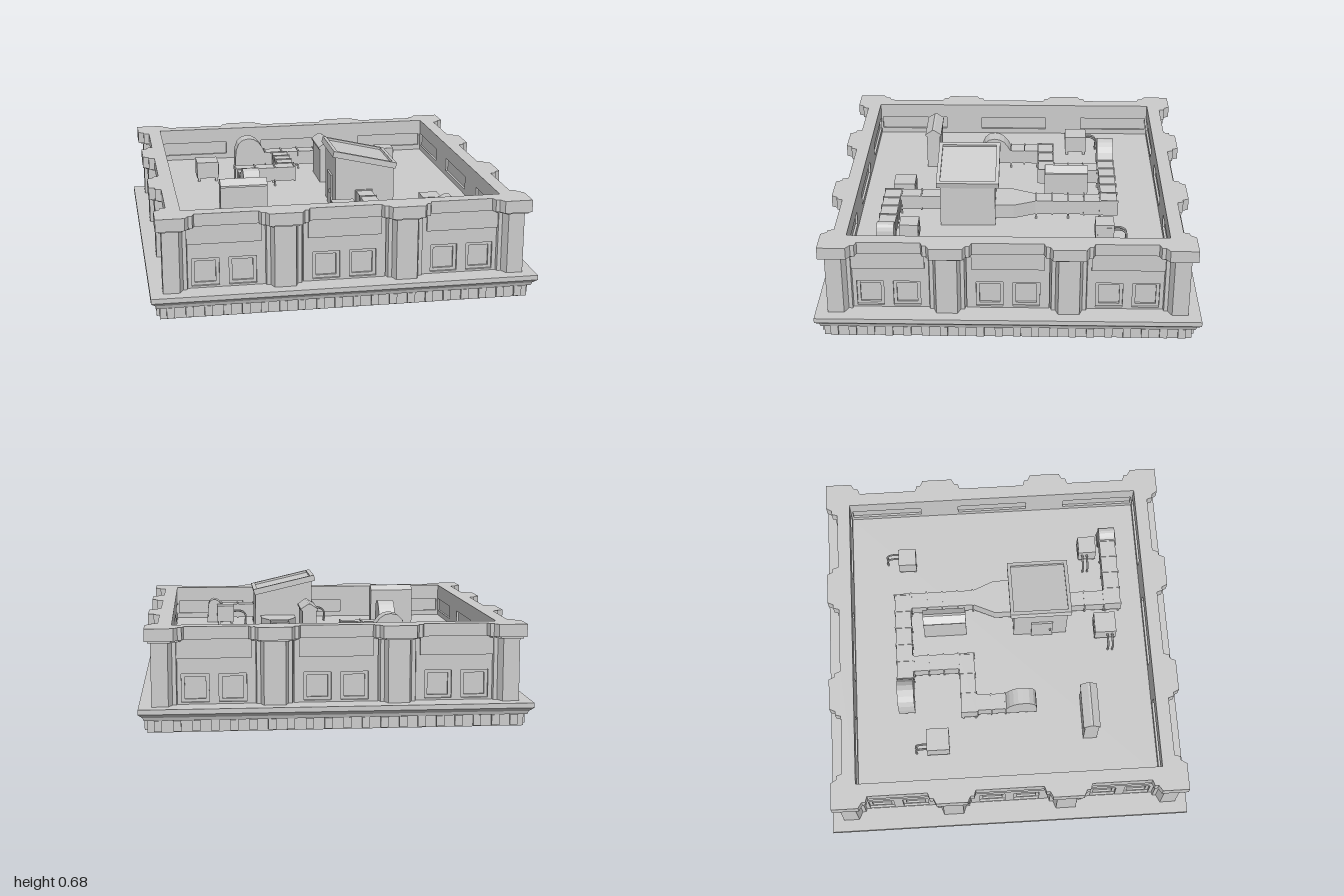
import * as THREE from 'three';

const mat = new THREE.MeshStandardMaterial({ color: 0xcccccc, flatShading: true, side: THREE.DoubleSide });
const FLOOR = 0.34;
const BAYS = [-0.62, 0, 0.62];

function add(parent, name, geo, x = 0, y = 0, z = 0) {
  const m = new THREE.Mesh(geo, mat);
  m.name = name;
  m.position.set(x, y, z);
  parent.add(m);
  return m;
}

// Box given by its extents
function block(parent, name, x0, x1, y0, y1, z0, z1) {
  return add(parent, name, new THREE.BoxGeometry(x1 - x0, y1 - y0, z1 - z0),
    (x0 + x1) / 2, (y0 + y1) / 2, (z0 + z1) / 2);
}

const poly = (pts) => pts.map(([x, y]) => new THREE.Vector2(x, y));
const rect = (x0, x1, y0, y1) => poly([[x0, y0], [x1, y0], [x1, y1], [x0, y1]]);

function extrude(outline, holes, depth) {
  const s = new THREE.Shape(outline);
  holes.forEach((h) => s.holes.push(new THREE.Path(h)));
  return new THREE.ExtrudeGeometry(s, { depth, bevelEnabled: false });
}

// Plan outline [x, z] raised from y0 to y1
function prism(parent, name, pts, holes, y0, y1) {
  const g = extrude(poly(pts.map(([x, z]) => [x, -z])), holes, y1 - y0);
  return add(parent, name, g.rotateX(-Math.PI / 2), 0, y0, 0);
}

// Square wall plan with stepped corner piers and two stepped pilasters per side
function wallPlan(bay, pil, grow) {
  const mid = (bay + pil) / 2;
  const half = [[-pil, pil], [-0.85 + grow, pil], [-0.83 + grow, mid], [-0.81 + grow, mid], [-0.80 + grow, bay]];
  const c = -0.315, w = 0.1 + grow;
  half.push([c - w, bay], [c - w + 0.01, mid], [c - w + 0.03, mid], [c - w + 0.045, pil],
    [c + w - 0.045, pil], [c + w - 0.03, mid], [c + w - 0.01, mid], [c + w, bay]);
  const mirrored = half.slice(1).reverse().map(([x, z]) => [-x, z]);
  let side = [...half, ...mirrored];
  const out = [];
  for (let i = 0; i < 4; i++) {
    out.push(...side);
    side = side.map(([x, z]) => [z, -x]);
  }
  return out;
}

// One facade, built facing +z
function facade() {
  const g = new THREE.Group();
  g.name = 'facade';
  for (const c of BAYS) {
    const wins = [-0.095, 0.095].map((o) => c + o);
    const holes = wins.map((w) => rect(w - 0.07, w + 0.07, 0.14, 0.285));
    add(g, 'bayWall', extrude(rect(c - 0.215, c + 0.215, 0.13, 0.46), holes, 0.025), 0, 0, 0.85);
    block(g, 'bayBand', c - 0.19, c + 0.19, 0.365, 0.455, 0.87, 0.885);
    for (const w of wins) {
      add(g, 'windowFrame', extrude(rect(w - 0.07, w + 0.07, 0.14, 0.285),
        [rect(w - 0.053, w + 0.053, 0.155, 0.268)], 0.012), 0, 0, 0.85);
    }
  }
  // Inner face of the parapet with one sunk panel per bay
  add(g, 'innerWall', extrude(rect(-0.84, 0.84, FLOOR, 0.53),
    BAYS.map((c) => rect(c - 0.2, c + 0.2, 0.37, 0.445)), 0.012), 0, 0, 0.83);
  for (let i = 0; i < 20; i++) {
    const x = -0.902 + i * 0.095;
    block(g, 'dentil', x - 0.02, x + 0.02, 0.012, 0.066, 0.93, 0.97);
  }
  return g;
}

// Straight run of duct with flanges and feet
function duct(parent, x0, x1, z0, z1) {
  block(parent, 'duct', x0, x1, 0.37, 0.45, z0, z1);
  const alongX = x1 - x0 > z1 - z0;
  const [a, b] = alongX ? [x0, x1] : [z0, z1];
  const n = Math.max(1, Math.round((b - a) / 0.1));
  for (let i = 0; i <= n; i++) {
    const t = a + 0.004 + ((b - a - 0.008) * i) / n;
    const e = 0.005, f = 0.004;
    if (alongX) block(parent, 'ductFlange', t - f, t + f, 0.365, 0.455, z0 - e, z1 + e);
    else block(parent, 'ductFlange', x0 - e, x1 + e, 0.365, 0.455, t - f, t + f);
    if (i % 2) continue;
    for (const s of [0, 1]) {
      const x = alongX ? t : s ? x1 - 0.008 : x0 + 0.008;
      const z = alongX ? (s ? z1 - 0.008 : z0 + 0.008) : t;
      block(parent, 'ductFoot', x - 0.005, x + 0.005, FLOOR, 0.37, z - 0.005, z + 0.005);
    }
  }
}

// Arched duct end: starts at local x = 0 and ends at x = len
function hood(parent, x, z, turn, len, top) {
  const s = new THREE.Shape();
  s.moveTo(0, 0.37);
  s.lineTo(0, 0.45);
  s.quadraticCurveTo(len * 0.2, top, len * 0.55, top);
  s.quadraticCurveTo(len, top, len, 0.42);
  s.lineTo(len, 0.37);
  const g = new THREE.ExtrudeGeometry(s, { depth: 0.092, bevelEnabled: false, curveSegments: 4 });
  g.translate(0, 0, -0.046);
  add(parent, 'ductHood', g, x, 0, z).rotation.y = turn;
}

// Gabled roof cabinet, long side along local x
function cabinet(parent, x, z, turn, len) {
  const g = extrude(poly([[-0.038, FLOOR], [0.038, FLOOR], [0.038, 0.54], [0.046, 0.54], [0.046, 0.55],
    [0.006, 0.577], [-0.006, 0.577], [-0.046, 0.55], [-0.046, 0.54], [-0.038, 0.54]]), [], len);
  g.translate(0, 0, -len / 2).rotateY(Math.PI / 2);
  add(parent, 'gabledCabinet', g, x, 0, z).rotation.y = turn;
}

// Cooling unit with two bent pipes leaving towards local +x
function coolingUnit(parent, x, z, turn, size, reach, shift) {
  const u = new THREE.Group();
  u.name = 'coolingUnit';
  const h = size / 2;
  block(u, 'unitBody', -h, h, 0.36, 0.455, -h, h);
  block(u, 'unitGrille', -h * 0.75, h * 0.75, 0.375, 0.44, h, h + 0.004);
  for (const sx of [-1, 1]) for (const sz of [-1, 1]) {
    const lx = sx * (h - 0.012), lz = sz * (h - 0.012);
    block(u, 'unitFoot', lx - 0.007, lx + 0.007, FLOOR, 0.36, lz - 0.007, lz + 0.007);
  }
  for (const o of [-0.013, 0.013]) {
    const path = new THREE.CatmullRomCurve3([[h - 0.01, 0.42], [h + reach * 0.6, 0.42],
      [h + reach, 0.4], [h + reach, FLOOR]].map(([a, b]) => new THREE.Vector3(a, b, shift + o)));
    add(u, 'unitPipe', new THREE.TubeGeometry(path, 10, 0.006, 6));
  }
  u.position.set(x, 0, z);
  u.rotation.y = turn;
  parent.add(u);
}

function penthouse(parent) {
  const g = new THREE.Group();
  g.name = 'penthouse';
  const body = extrude(poly([[0.045, FLOOR], [0.37, FLOOR], [0.37, 0.58], [0.045, 0.65]]), [], 0.3);
  add(g, 'penthouseBody', body, 0, 0, 0.08);
  // Sloping roof tray with a raised rim
  const roof = new THREE.Group();
  roof.name = 'penthouseRoof';
  const rim = extrude(rect(-0.179, 0.179, -0.17, 0.17), [rect(-0.157, 0.157, -0.15, 0.15)], 0.033);
  add(roof, 'roofRim', rim.rotateX(-Math.PI / 2), 0, -0.033, 0);
  block(roof, 'roofPanel', -0.16, 0.16, -0.032, -0.012, -0.155, 0.155);
  roof.position.set(0.208, 0.642, 0.23);
  roof.rotation.z = -0.228;
  g.add(roof);
  // Side door
  block(g, 'door', 0.035, 0.05, FLOOR, 0.52, 0.18, 0.3);
  block(g, 'doorHandle', 0.026, 0.036, 0.42, 0.44, 0.28, 0.29);
  parent.add(g);
}

export function createModel() {
  const model = new THREE.Group();
  model.name = 'rooftopSection';

  // Cornice: square profile swept round four sides
  const profile = [[0, 0.005], [0.955, 0.005], [0.955, 0.066], [0.972, 0.068], [0.978, 0.085], [0.995, 0.1],
    [1, 0.105], [1, 0.13], [0.8, 0.13]].map(([r, y]) => new THREE.Vector2(r * Math.SQRT2, y));
  add(model, 'cornice', new THREE.LatheGeometry(profile, 4, Math.PI / 4));
  block(model, 'basePlate', -0.93, 0.93, 0, 0.01, -0.93, 0.93);

  // Walls, neck moulding and parapet cap
  const inner = (r) => rect(-r, r, -r, r);
  prism(model, 'wall', wallPlan(0.85, 0.935, 0), [inner(0.842)], 0.13, 0.46);
  prism(model, 'neckMoulding', wallPlan(0.89, 0.95, 0.015), [inner(0.845)], 0.455, 0.467);
  prism(model, 'parapetCap', wallPlan(0.902, 0.965, 0.03), [inner(0.83)], 0.465, 0.53);
  block(model, 'roofDeck', -0.845, 0.845, FLOOR - 0.02, FLOOR, -0.845, 0.845);
  for (let i = 0; i < 4; i++) {
    const f = facade();
    f.rotation.y = (i * Math.PI) / 2;
    model.add(f);
  }

  penthouse(model);

  // Duct network
  const ducts = new THREE.Group();
  ducts.name = 'ducts';
  model.add(ducts);
  prism(ducts, 'ductTaper', [[0.145, 0.09], [0.34, 0.09], [0.34, -0.02], [0.29, -0.14], [0.2, -0.14], [0.145, -0.02]],
    [], 0.37, 0.45);
  duct(ducts, 0.2, 0.29, -0.5, -0.14);
  duct(ducts, -0.22, 0.29, -0.59, -0.5);
  duct(ducts, -0.18, -0.09, -0.5, -0.24);
  duct(ducts, -0.44, -0.09, -0.24, -0.155);
  duct(ducts, -0.43, -0.34, -0.155, 0.01);
  duct(ducts, 0.16, 0.245, 0.38, 0.61);
  duct(ducts, 0.16, 0.56, 0.61, 0.7);
  hood(ducts, -0.22, -0.545, Math.PI, 0.18, 0.542);
  hood(ducts, -0.385, 0.01, -Math.PI / 2, 0.17, 0.527);
  hood(ducts, 0.56, 0.655, 0, 0.08, 0.48);
  block(ducts, 'hoodBase', 0.57, 0.645, FLOOR, 0.375, 0.605, 0.715);

  cabinet(model, -0.47, 0.467, 0, 0.25);
  cabinet(model, 0.1, -0.31, Math.PI / 2, 0.24);

  coolingUnit(model, -0.585, -0.38, Math.PI / 2, 0.125, 0.06, -0.03);
  coolingUnit(model, 0.517, -0.51, Math.PI / 2, 0.1, 0.065, 0.02);
  coolingUnit(model, 0.05, 0.6, Math.PI, 0.12, 0.065, -0.025);
  coolingUnit(model, 0.535, 0.535, Math.PI, 0.1, 0.07, 0.015);
  return model;
}
